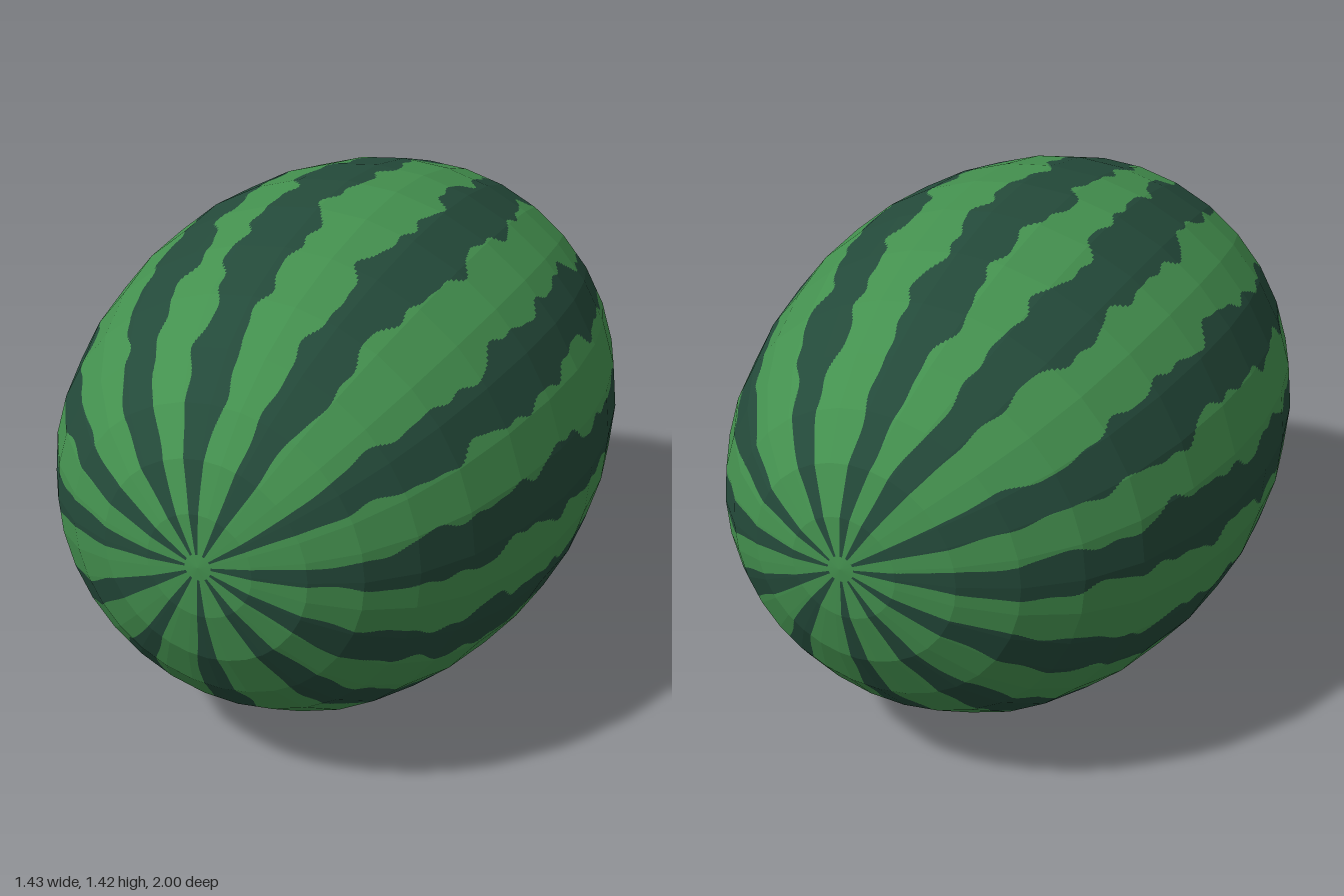
import * as THREE from 'three';

const COLS = 32, BANDS = 16, ROWS = 16; // facets around, facets along, stripe steps per facet
const RX = 0.715, RY = 0.71;
// Distance of each facet ring from the middle, middle to tip
const RING_Z = [0, 0.2, 0.405, 0.598, 0.748, 0.866, 0.946, 0.987, 1];
// Stripe centres around the long axis, in degrees from +x towards +y
const STRIPES = [3, 32, 64, 94, 119, 151, 178, 208, 238, 270, 305, 334];

// One facet ring: centre, radii and position, with the tips leaning slightly up and left
function ring(k) {
  const i = k - BANDS / 2;
  const z = Math.sign(i) * RING_Z[Math.abs(i)];
  const c = Math.cos((i / BANDS) * Math.PI);
  const lean = Math.abs(z) ** 5;
  return { x: 0.04 * lean, y: RY + 0.05 * lean, z, rx: RX * c, ry: RY * c };
}

function mixRings(a, b, f) {
  const out = {};
  for (const key in a) out[key] = a[key] + (b[key] - a[key]) * f;
  return out;
}

// Point on the straight facet edge at column position u (0..32)
function pointOn(r, u) {
  const j = Math.floor(u), f = u - j, step = (2 * Math.PI) / COLS;
  const c = Math.cos(j * step) * (1 - f) + Math.cos((j + 1) * step) * f;
  const s = Math.sin(j * step) * (1 - f) + Math.sin((j + 1) * step) * f;
  return [r.x + r.rx * c, r.y + r.ry * s, r.z];
}

// Smooth irregular wobble along the length, different for every seed
function wobble(z, seed) {
  return 0.9 * Math.sin(z * 13 + seed * 2.7) + 0.8 * Math.sin(z * 23 + seed * 5.1)
    + 0.55 * Math.sin(z * 41 + seed * 1.9) + 0.3 * Math.sin(z * 67 + seed * 3.3);
}

// Both ragged edges of every stripe at one position, in column units
function stripeEdges(t, z) {
  const c = Math.cos((t - 0.5) * Math.PI);
  if (c < 0.05) return [];
  const half = 5.2 + 1.8 * c, rough = 0.5 + 0.8 * c;
  return STRIPES.map((deg, i) => {
    const mid = deg + 1.3 * Math.sin(z * 5 + i * 2.3) * c;
    const lo = mid - half + rough * wobble(z, i * 2 + 1);
    const hi = mid + half + rough * wobble(z, i * 2 + 2);
    return [lo, hi].map(d => (d * COLS) / 360);
  });
}

const wrap = u => ((u % COLS) + COLS) % COLS;

function makeMesh(name, positions, material) {
  const geometry = new THREE.BufferGeometry();
  geometry.setAttribute('position', new THREE.Float32BufferAttribute(positions, 3));
  geometry.computeVertexNormals();
  const mesh = new THREE.Mesh(geometry, material);
  mesh.name = name;
  return mesh;
}

export function createModel() {
  const lightGreen = new THREE.MeshStandardMaterial({ color: 0x44914f });
  lightGreen.name = 'lightGreen';
  const darkGreen = new THREE.MeshStandardMaterial({ color: 0x244a3a });
  darkGreen.name = 'darkGreen';

  const rind = [], stripes = [];
  for (let k = 0; k < BANDS; k++) {
    const a = ring(k), b = ring(k + 1);
    for (let n = 0; n < ROWS; n++) {
      const r0 = mixRings(a, b, n / ROWS), r1 = mixRings(a, b, (n + 1) / ROWS);
      const edges = stripeEdges((k + (n + 0.5) / ROWS) / BANDS, (r0.z + r1.z) / 2);

      // Cut the row at facet edges and stripe edges, then sort pieces by colour
      const cuts = edges.flat().map(wrap);
      for (let j = 0; j <= COLS; j++) cuts.push(j);
      cuts.sort((p, q) => p - q);
      for (let m = 0; m < cuts.length - 1; m++) {
        const u0 = cuts[m], u1 = cuts[m + 1];
        if (u1 - u0 < 1e-5) continue;
        const mid = (u0 + u1) / 2;
        const dark = edges.some(([lo, hi]) => wrap(mid - lo) < hi - lo);
        // Stay inside one facet when the piece ends on a facet edge
        const e = u1 - 1e-7;
        const p = pointOn(r0, u0), q = pointOn(r0, e), s = pointOn(r1, e), t = pointOn(r1, u0);
        const target = dark ? stripes : rind;
        if (r0.rx > 1e-6) target.push(...p, ...q, ...s);
        if (r1.rx > 1e-6) target.push(...p, ...s, ...t);
      }
    }
  }

  const model = new THREE.Group();
  model.name = 'watermelon';
  model.add(makeMesh('rind', rind, lightGreen), makeMesh('rindStripes', stripes, darkGreen));
  return model;
}
